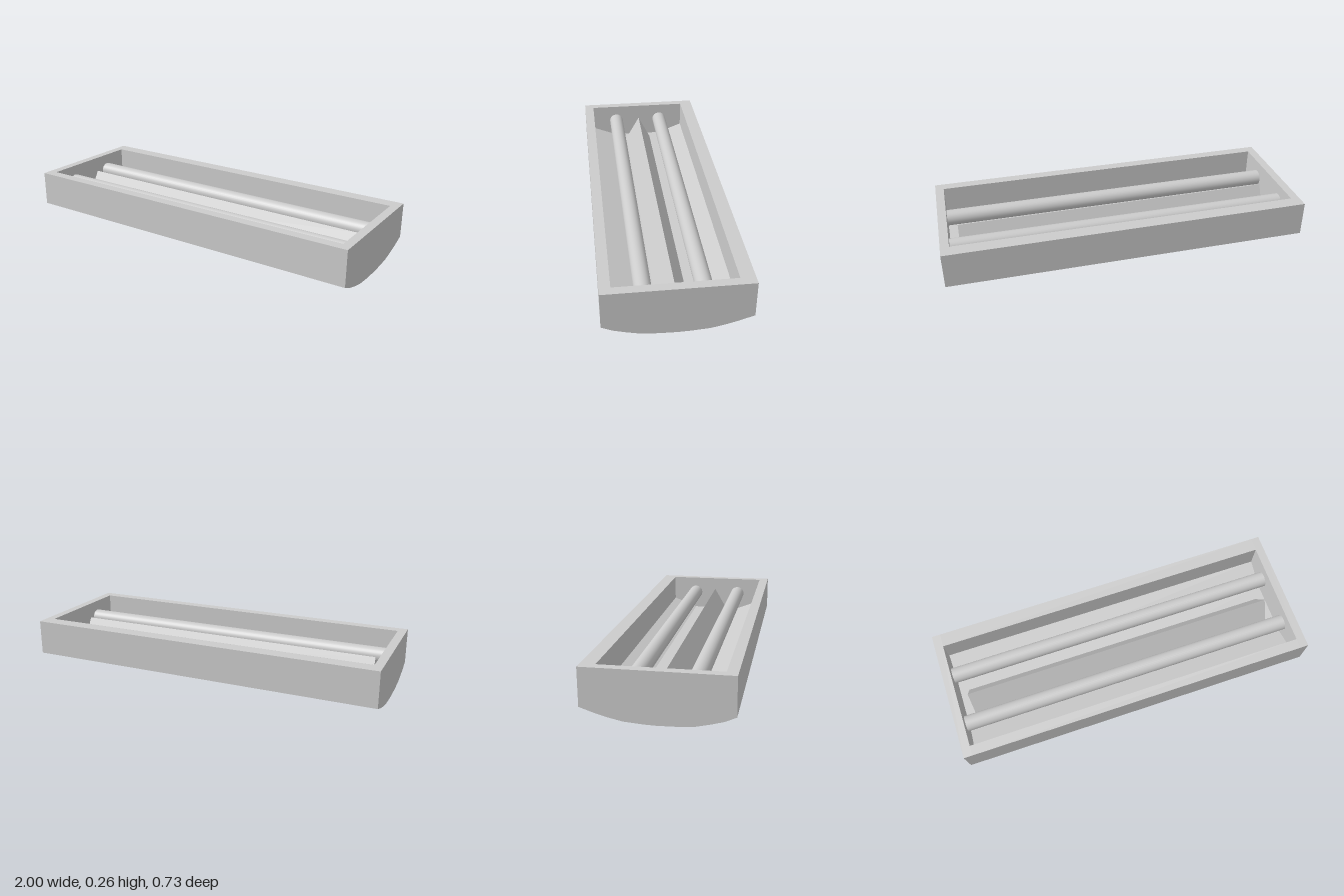
import * as THREE from 'three';
import { toCreasedNormals } from 'three/addons/utils/BufferGeometryUtils.js';

const material = new THREE.MeshStandardMaterial({ color: 0xcccccc });

// Extrudes a [z, y] section along x between x0 and x1.
function section(points, x0, x1) {
  const shape = new THREE.Shape(points.map(([z, y]) => new THREE.Vector2(-z, y)));
  const geometry = new THREE.ExtrudeGeometry(shape, { depth: x1 - x0, bevelEnabled: false });
  geometry.rotateY(Math.PI / 2).translate(x0, 0, 0);
  return toCreasedNormals(geometry, 0.3);
}

export function createModel() {
  const group = new THREE.Group();
  const add = (name, geometry) => {
    const mesh = new THREE.Mesh(geometry, material);
    mesh.name = name;
    group.add(mesh);
    return mesh;
  };

  const top = 0.262, inner = 0.953;

  // Shallow curved underside, front to back
  const belly = [
    [0.365, 0.067], [0.31, 0.042], [0.245, 0.024], [0.18, 0.009], [0.09, 0.002], [0, 0],
    [-0.06, 0.002], [-0.155, 0.009], [-0.225, 0.024], [-0.29, 0.042], [-0.365, 0.067],
  ];

  // Trough with sloping reflector sides and a flat floor
  const trough = [
    [-0.365, top], [-0.29, top], [-0.29, 0.11], [-0.14, 0.052],
    [0.16, 0.052], [0.31, 0.11], [0.31, top], [0.365, top],
  ];
  add('housing', section([...belly, ...trough], -inner, inner));

  // Solid end walls
  const endProfile = [...belly, [-0.365, top], [0.365, top]];
  add('leftEndWall', section(endProfile, inner, 1));
  add('rightEndWall', section(endProfile, -1, -inner));

  // Ridge-shaped cover between the tubes
  add('centreRidge', section([[0.09, 0.05], [0.005, 0.198], [-0.07, 0.05]], -0.9, 0.9));

  // Pair of lamp tubes spanning the trough
  for (const [name, z] of [['frontTube', 0.155], ['backTube', -0.14]]) {
    const tube = add(name, new THREE.CylinderGeometry(0.044, 0.044, inner * 2, 32));
    tube.rotation.z = Math.PI / 2;
    tube.position.set(0, 0.16, z);
  }

  return group;
}
